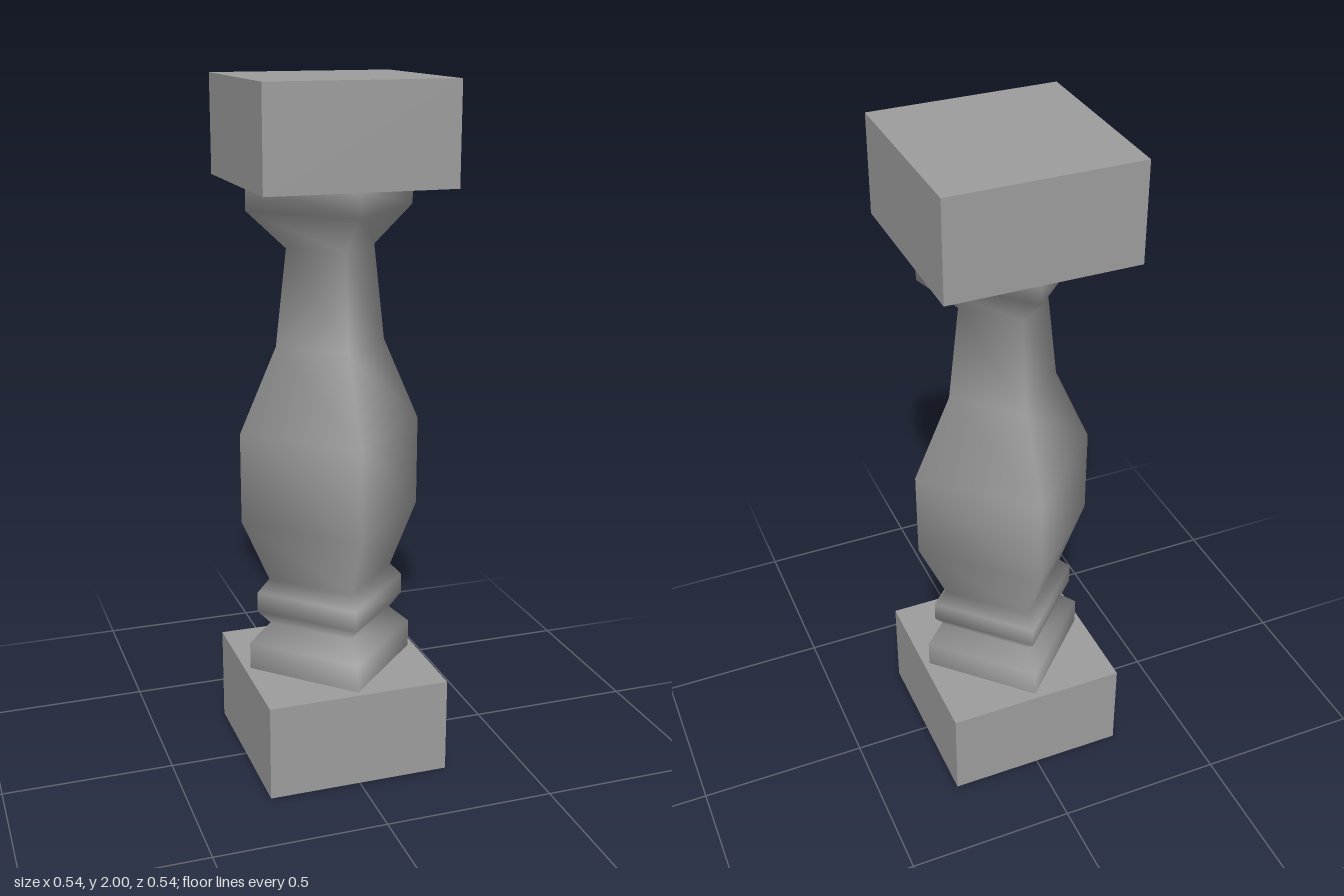
import * as THREE from 'three';

export function createModel() {
  const group = new THREE.Group();
  group.name = 'baluster';
  const material = new THREE.MeshStandardMaterial({ color: 0x9d9d9d });

  const add = (name, geometry, y = 0) => {
    const mesh = new THREE.Mesh(geometry, material);
    mesh.name = name;
    mesh.position.y = y;
    group.add(mesh);
  };

  // Square blocks at both ends
  const width = 0.54, height = 0.283;
  add('baseBlock', new THREE.BoxGeometry(width, height, width), height / 2);
  add('topBlock', new THREE.BoxGeometry(width, height, width), 2 - height / 2);

  // Four-sided turned shaft, corners on the axes, smooth along its whole length
  const profile = [
    [0.252, 0.283], [0.252, 0.365], [0.188, 0.422], // base moulding
    [0.227, 0.463], [0.227, 0.523], [0.19, 0.562], // ring
    [0.271, 0.75], [0.271, 1.015], [0.162, 1.262], [0.13, 1.538], // belly and neck
    [0.244, 1.646], [0.244, 1.717], // capital
  ].map(([r, y]) => new THREE.Vector2(r, y));
  add('shaft', new THREE.LatheGeometry(profile, 4));
  return group;
}
